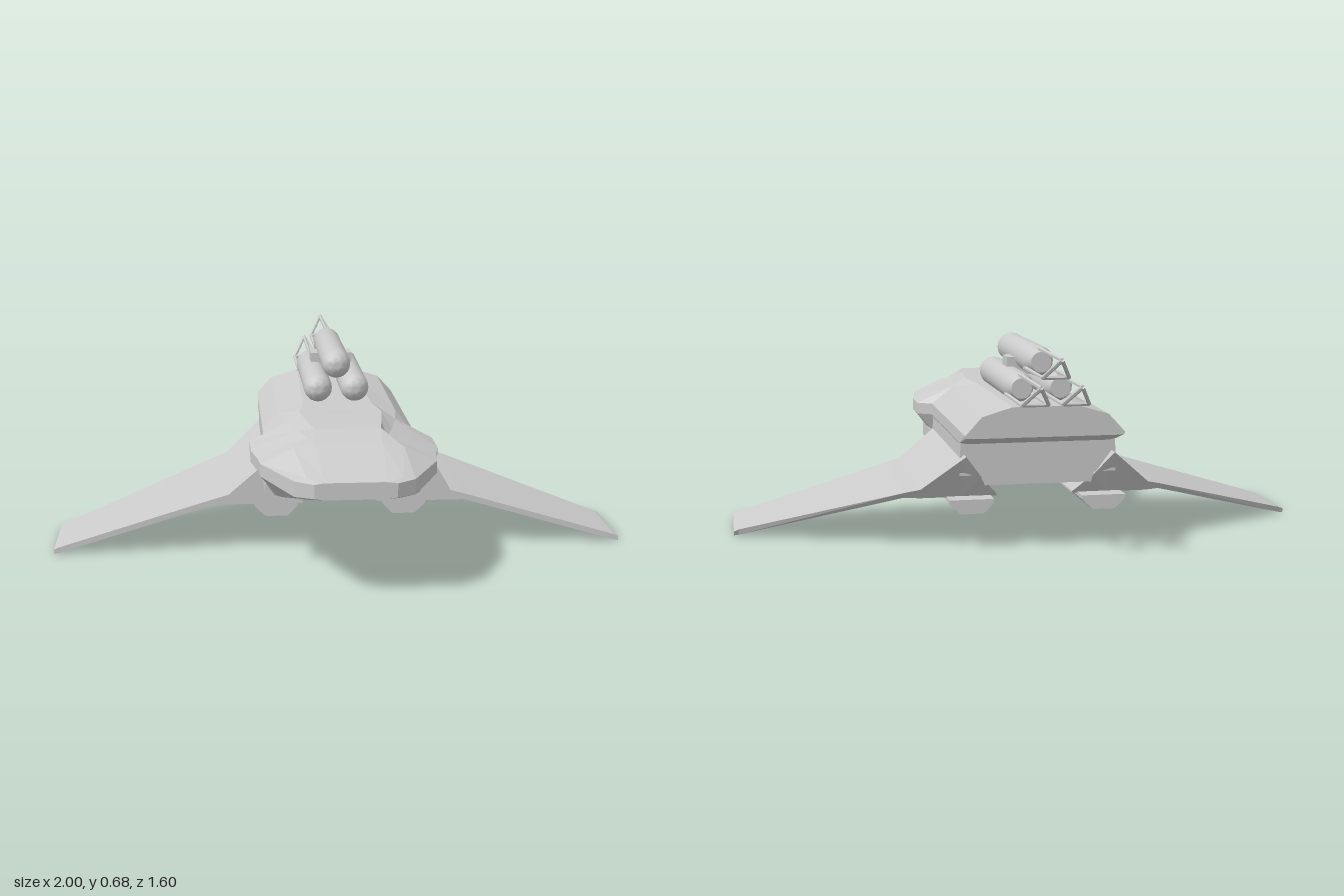
import * as THREE from 'three';
import { toCreasedNormals } from 'three/addons/utils/BufferGeometryUtils.js';

const material = new THREE.MeshStandardMaterial({ color: 0xcccccc });
const flat = new THREE.MeshStandardMaterial({ color: 0xcccccc, flatShading: true });

function add(parent, name, geometry, mat = flat) {
  const mesh = new THREE.Mesh(geometry, mat);
  mesh.name = name;
  parent.add(mesh);
  return mesh;
}

// Skin a list of equal-length convex rings of Vector3 and close both ends
function loft(rings) {
  const tris = [];
  const n = rings[0].length;
  for (let i = 0; i < rings.length - 1; i++) {
    for (let j = 0; j < n; j++) {
      const k = (j + 1) % n;
      const [a, b, c, d] = [rings[i][j], rings[i][k], rings[i + 1][k], rings[i + 1][j]];
      tris.push([a, b, c], [a, c, d]);
    }
  }
  const last = rings[rings.length - 1];
  for (let j = 1; j < n - 1; j++) {
    tris.push([rings[0][0], rings[0][j + 1], rings[0][j]], [last[0], last[j], last[j + 1]]);
  }
  // A negative volume means the faces point inwards
  const cross = new THREE.Vector3();
  const volume = tris.reduce((v, [a, b, c]) => v + a.dot(cross.crossVectors(b, c)), 0);
  const points = tris.flatMap(([a, b, c]) => (volume < 0 ? [a, c, b] : [a, b, c]));
  const geometry = new THREE.BufferGeometry().setFromPoints(points);
  geometry.computeVertexNormals();
  return geometry;
}

// Prism of an outline in x, y between two depths
function prism(points, z0, z1) {
  return loft([z0, z1].map((z) => points.map(([x, y]) => new THREE.Vector3(x, y, z))));
}

const mirrored = (half) => [...half, ...half.map(([x, y]) => [-x, y]).reverse()];

function rod(parent, name, a, b, radius) {
  const from = new THREE.Vector3(...a);
  const dir = new THREE.Vector3(...b).sub(from);
  const mesh = add(parent, name, new THREE.CylinderGeometry(radius, radius, dir.length(), 6));
  mesh.position.copy(from).addScaledVector(dir, 0.5);
  mesh.quaternion.setFromUnitVectors(new THREE.Vector3(0, 1, 0), dir.normalize());
}

function addHull(parent) {
  // z, then roof, shoulder, belt top, belt bottom and keel corners
  const sections = [
    [-0.565, [0.11, 0.49], [0.21, 0.46], [0.265, 0.4], [0.262, 0.392], [0.24, 0.39]],
    [-0.45, [0.11, 0.49], [0.21, 0.46], [0.265, 0.4], [0.265, 0.36], [0.24, 0.355]],
    [0.05, [0.12, 0.49], [0.208, 0.46], [0.265, 0.4], [0.265, 0.36], [0.24, 0.3]],
    [0.2, [0.14, 0.492], [0.19, 0.462], [0.265, 0.4], [0.265, 0.36], [0.25, 0.285]],
    [0.235, [0.14, 0.493], [0.185, 0.464], [0.315, 0.4], [0.315, 0.36], [0.25, 0.285]],
    [0.37, [0.125, 0.495], [0.16, 0.466], [0.315, 0.4], [0.315, 0.36], [0.25, 0.275]],
    [0.48, [0.11, 0.497], [0.13, 0.467], [0.295, 0.4], [0.295, 0.36], [0.24, 0.275]],
    [0.515, [0.11, 0.465], [0.16, 0.458], [0.293, 0.4], [0.293, 0.36], [0.23, 0.282]],
    [0.55, [0.11, 0.46], [0.18, 0.45], [0.288, 0.4], [0.288, 0.358], [0.22, 0.288]],
    [0.76, [0.1, 0.409], [0.15, 0.406], [0.19, 0.397], [0.19, 0.347], [0.14, 0.337]],
    [0.8, [0.08, 0.4], [0.11, 0.399], [0.13, 0.395], [0.13, 0.35], [0.1, 0.345]],
  ];
  add(parent, 'hull', loft(sections.map(([z, ...half]) =>
    mirrored(half).map(([x, y]) => new THREE.Vector3(x, y, z)))));
  add(parent, 'belly', prism(mirrored([[0.262, 0.37], [0.265, 0.25], [0.19, 0.248], [0.18, 0.215]]), -0.45, 0.2));
  add(parent, 'chinBlock', prism(mirrored([[0.27, 0.3], [0.27, 0.25]]), 0.19, 0.43));
}

function addWing(parent, side) {
  const wing = new THREE.Group();
  wing.name = side > 0 ? 'leftWing' : 'rightWing';
  parent.add(wing);
  // x, upper y, upper trailing z, lower y, lower trailing z
  const stations = [
    [0.13, 0.172, -0.39, 0.165, -0.38],
    [0.19, 0.24, -0.45, 0.165, -0.38],
    [0.25, 0.32, -0.495, 0.165, -0.38],
    [0.39, 0.2, -0.41, 0.165, -0.38],
    [0.44, 0.186, -0.383, 0.165, -0.36],
    [0.985, 0.022, -0.1, 0.002, -0.092],
    [1, 0.015, -0.1, 0, -0.092],
  ];
  add(wing, 'wingPanel', loft(stations.map(([x, yt, zt, yb, zb]) => [
    [yt, 0.2], [yt, zt], [yb, zb], [yb, 0.2],
  ].map(([y, z]) => new THREE.Vector3(side * x, y, z)))));
  const pod = [[0.15, 0.168], [0.15, 0.155], [0.185, 0.12], [0.262, 0.12], [0.3, 0.155], [0.3, 0.168]];
  add(wing, 'underwingPod', prism(pod.map(([x, y]) => [side * x, y]), -0.45, 0.2));
}

function addCannon(parent, x, y) {
  const cannon = new THREE.Group();
  cannon.name = 'cannon';
  cannon.position.set(x, y, 0);
  parent.add(cannon);
  // Round nose at the front, short taper at the back
  const profile = [[0, -0.49], [0.034, -0.49], [0.05, -0.44]].map((p) => new THREE.Vector2(...p));
  for (let i = 0; i <= 8; i++) {
    const t = (i / 8) * Math.PI / 2;
    profile.push(new THREE.Vector2(0.05 * Math.cos(t), 0.025 + 0.05 * Math.sin(t)));
  }
  const body = new THREE.LatheGeometry(profile, 20).rotateX(Math.PI / 2);
  add(cannon, 'cannonBody', toCreasedNormals(body, 0.5), material);
  // Open frame of three rods that meet at the tail
  const tip = [0, 0.04, -0.797];
  rod(cannon, 'topRail', [0, 0.042, -0.42], tip, 0.007);
  for (const s of [-1, 1]) {
    const corner = [s * 0.042, -0.024, -0.71];
    rod(cannon, 'lowerRail', [s * 0.042, -0.024, -0.43], corner, 0.007);
    rod(cannon, 'tailStrut', corner, tip, 0.007);
  }
  rod(cannon, 'tailCrossbar', [-0.042, -0.024, -0.71], [0.042, -0.024, -0.71], 0.007);
}

export function createModel() {
  const model = new THREE.Group();
  model.name = 'spacecraft';
  addHull(model);
  for (const side of [1, -1]) addWing(model, side);

  // Stack of three cannons joined by a clamp
  const rack = new THREE.Group();
  rack.name = 'cannonRack';
  model.add(rack);
  for (const [x, y] of [[0, 0.625], [-0.065, 0.54], [0.065, 0.54]]) addCannon(rack, x, y);
  add(rack, 'clamp', new THREE.BoxGeometry(0.15, 0.06, 0.085)).position.set(0, 0.592, -0.243);
  return model;
}
